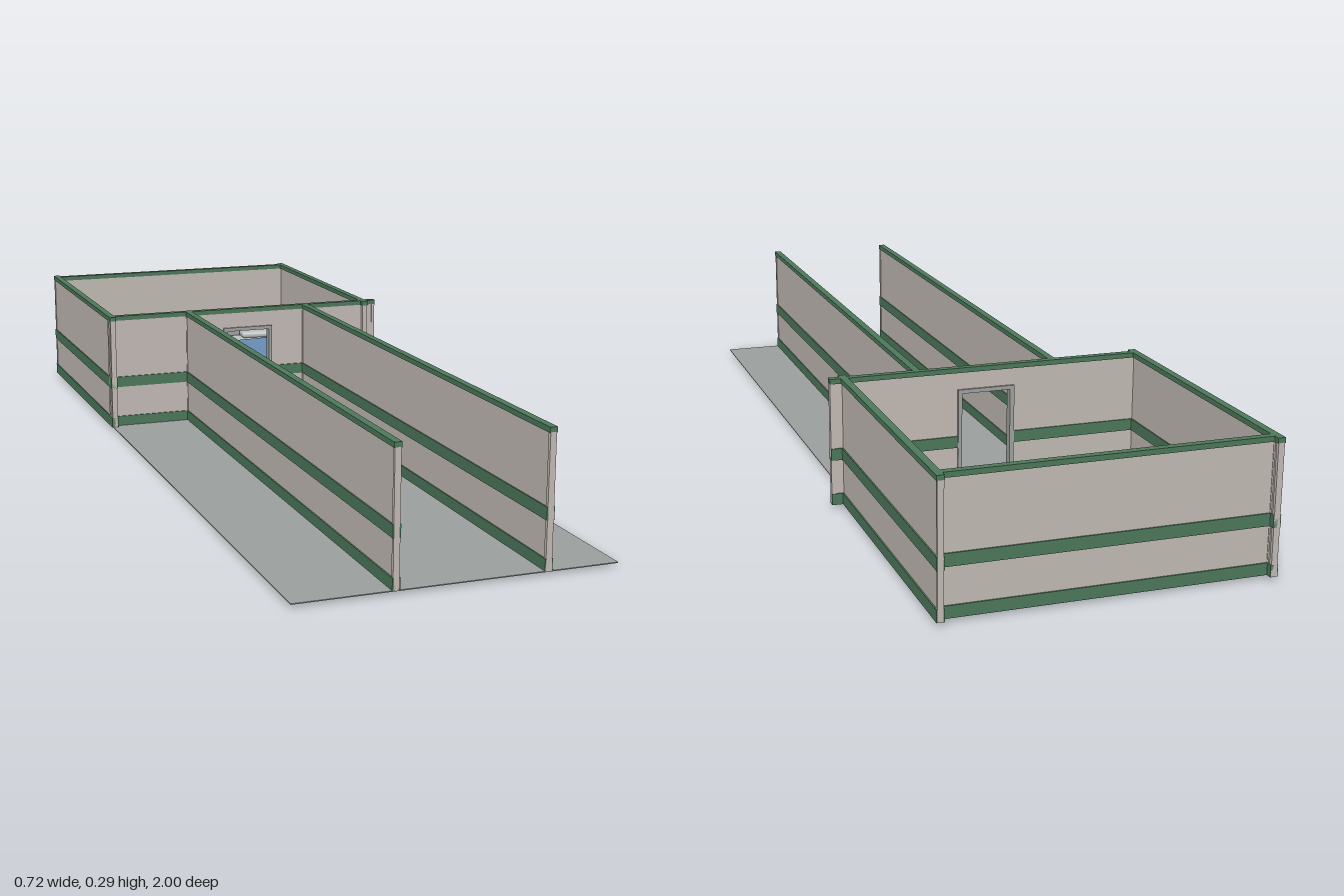
import * as THREE from 'three';
import { RoundedBoxGeometry } from 'three/addons/geometries/RoundedBoxGeometry.js';

const mat = (name, color) => {
  const m = new THREE.MeshStandardMaterial({ color });
  m.name = name;
  return m;
};

export function createModel() {
  const root = new THREE.Group();
  const wallMat = mat('warm grey wall', 0xc6beb8);
  const green = mat('green trim', 0x4f7a5c);
  const floorMat = mat('grey floor', 0x9da19f);
  const frameMat = mat('door frame grey', 0xa3a5a3);
  const bedMat = mat('bed grey', 0xa6a8a7);
  const linen = mat('pale linen', 0xbfc2c2);
  const blue = mat('blue blanket', 0x6a8db5);
  const dark = mat('dark caster', 0x3a3c3c);

  const add = (parent, name, geo, m, x = 0, y = 0, z = 0) => {
    const mesh = new THREE.Mesh(geo, m);
    mesh.name = name;
    mesh.position.set(x, y, z);
    parent.add(mesh);
    return mesh;
  };
  const box = (parent, name, m, x0, x1, y0, y1, z0, z1) =>
    add(parent, name, new THREE.BoxGeometry(x1 - x0, y1 - y0, z1 - z0), m,
      (x0 + x1) / 2, (y0 + y1) / 2, (z0 + z1) / 2);

  const BASE = 0.008, TOP = 0.29;

  // Straight wall run along local x, from 0 to its length
  function wall(name, x, z, length, alongZ, gap) {
    const g = new THREE.Group();
    g.name = name;
    g.position.set(x, 0, z);
    if (alongZ) g.rotation.y = -Math.PI / 2;
    const runs = gap ? [[0, gap[0]], [gap[1], length]] : [[0, length]];
    for (const [a, b] of runs) {
      box(g, 'wallPanel', wallMat, a, b, BASE, 0.28, -0.005, 0.005);
      box(g, 'baseTrim', green, a, b, BASE, 0.033, -0.008, 0.008);
      box(g, 'middleTrim', green, a, b, 0.109, 0.135, -0.008, 0.008);
    }
    // Panel above the door
    if (gap) box(g, 'doorLintel', wallMat, gap[0], gap[1], 0.24, 0.28, -0.005, 0.005);
    box(g, 'topTrim', green, 0, length, 0.279, TOP, -0.008, 0.008);
    // End posts
    for (const p of [0.004, length - 0.004])
      box(g, 'endPost', wallMat, p - 0.004, p + 0.004, BASE, 0.28, -0.0065, 0.0065);
    root.add(g);
  }

  // Floor sheet
  box(root, 'floor', floorMat, -0.355, 0.313, 0.007, 0.009, -0.985, 1);

  // Room and corridor walls
  const frontZ = -0.343;
  wall('roomRightSideWall', -0.35, -1, 0.677, true);
  wall('roomLeftSideWall', 0.326, -1, 0.677, true);
  wall('roomBackWall', -0.35, -0.979, 0.676, false);
  wall('roomFrontWall', -0.358, frontZ, 0.716, false, [0.3, 0.43]);
  for (const x of [-0.15, 0.163]) wall('corridorWall', x, frontZ, 1.343, true);

  // Door frame
  const frame = new THREE.Shape([[-0.058, BASE], [-0.048, BASE], [-0.048, 0.232], [0.063, 0.232],
    [0.063, BASE], [0.072, BASE], [0.072, 0.241], [-0.058, 0.241]].map(p => new THREE.Vector2(...p)));
  add(root, 'doorFrame', new THREE.ExtrudeGeometry(frame, { depth: 0.02, bevelEnabled: false }),
    frameMat, 0, 0, frontZ - 0.01);

  // Rounded end board, standing in the xy plane
  function boardGeometry(w, h, r) {
    const s = new THREE.Shape();
    s.moveTo(-w / 2, 0);
    s.lineTo(w / 2, 0);
    s.lineTo(w / 2, h - r);
    s.absarc(w / 2 - r, h - r, r, 0, Math.PI / 2, false);
    s.absarc(-w / 2 + r, h - r, r, Math.PI / 2, Math.PI, false);
    s.closePath();
    return new THREE.ExtrudeGeometry(s, { depth: 0.008, bevelEnabled: false, curveSegments: 8 });
  }

  // Bed with its head towards the back wall
  function bed(x) {
    const g = new THREE.Group();
    g.name = 'bed';
    g.position.set(x, 0, -0.76);
    box(g, 'bedFrame', bedMat, -0.073, 0.073, 0.05, 0.064, -0.172, 0.172);
    add(g, 'mattress', new RoundedBoxGeometry(0.142, 0.034, 0.335, 2, 0.008), linen, 0, 0.08, 0);
    add(g, 'headboard', boardGeometry(0.15, 0.075, 0.025), bedMat, 0, 0.048, -0.18);
    add(g, 'footboard', boardGeometry(0.15, 0.06, 0.025), bedMat, 0, 0.048, 0.172);

    // Blanket with a slanted upper edge
    const s = new THREE.Shape([[-0.074, -0.17], [0.074, -0.17], [0.074, 0.092], [-0.074, 0.076]]
      .map(p => new THREE.Vector2(...p)));
    const cover = add(g, 'blanket', new THREE.ExtrudeGeometry(s, { depth: 0.034, bevelEnabled: false }),
      blue, 0, 0.066, 0);
    cover.rotation.x = -Math.PI / 2;

    const pillow = add(g, 'pillow', new RoundedBoxGeometry(0.085, 0.018, 0.056, 3, 0.008), linen, 0, 0.104, -0.134);
    pillow.rotation.y = -0.1;

    // Legs on casters
    for (const sx of [-0.065, 0.065]) for (const z of [-0.075, 0.08]) {
      add(g, 'leg', new THREE.CylinderGeometry(0.004, 0.004, 0.045, 8), bedMat, sx, 0.03, z);
      const wheel = add(g, 'caster', new THREE.CylinderGeometry(0.005, 0.005, 0.006, 12), dark, sx, 0.005, z);
      wheel.rotation.z = Math.PI / 2;
    }
    root.add(g);
  }
  bed(-0.214);
  bed(0.212);

  return root;
}
